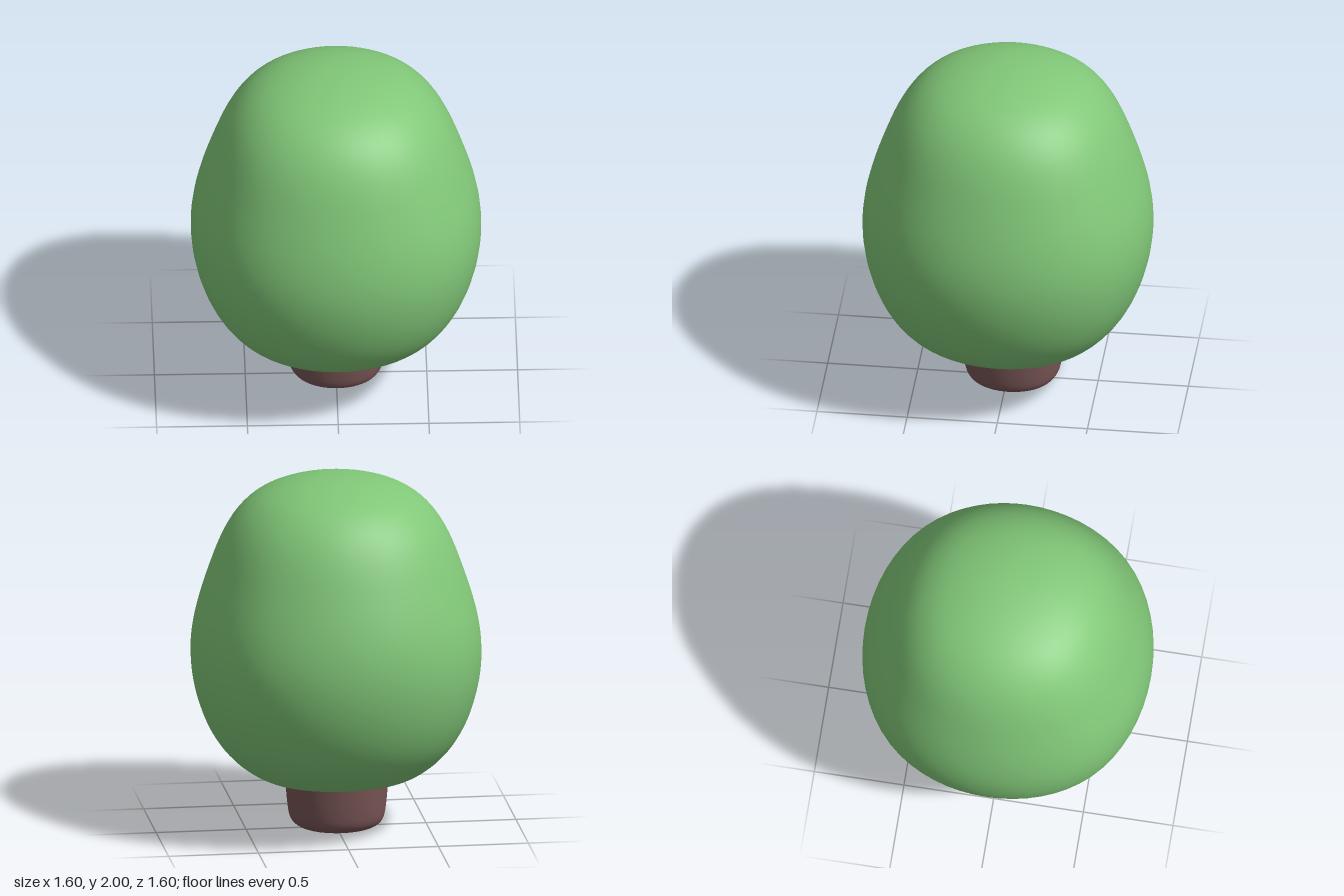
import * as THREE from 'three';

// Square cage: rings of [half width, y], open at the first ring, capped at the last
function cage(rings, flip) {
  const corners = [[1, 1], [1, -1], [-1, -1], [-1, 1]];
  const points = [], quads = [];
  rings.forEach(([w, y], r) => corners.forEach(([cx, cz], i) => {
    points.push(new THREE.Vector3(cx * w, y, cz * w));
    const j = (i + 1) % 4;
    if (r > 0) quads.push([4 * r - 4 + i, 4 * r - 4 + j, 4 * r + j, 4 * r + i]);
  }));
  const last = 4 * (rings.length - 1);
  quads.push([last, last + 1, last + 2, last + 3]);
  if (flip) quads.forEach((q) => q.reverse());
  return { points, quads };
}

// One step of smooth quad subdivision, with open borders kept as smooth curves
function subdivide({ points, quads }) {
  const n = points.length;
  const average = (list) => list.reduce((s, p) => s.add(p), new THREE.Vector3()).divideScalar(list.length);
  const edges = new Map();
  const around = points.map(() => ({ faces: [], mids: [], rim: [] }));
  const key = (a, b) => Math.min(a, b) * n + Math.max(a, b);
  const facePoints = quads.map((q) => average(q.map((i) => points[i])));
  quads.forEach((q, f) => q.forEach((a, k) => {
    const b = q[(k + 1) % 4], id = key(a, b);
    if (!edges.has(id)) edges.set(id, { a, b, faces: [] });
    edges.get(id).faces.push(facePoints[f]);
    around[a].faces.push(facePoints[f]);
  }));

  const edgePoints = [];
  for (const e of edges.values()) {
    const ends = [points[e.a], points[e.b]];
    const mid = average(ends);
    const border = e.faces.length === 1;
    e.index = n + edgePoints.length;
    edgePoints.push(border ? mid : average([...ends, ...e.faces]));
    for (const v of [e.a, e.b]) {
      around[v].mids.push(mid);
      if (border) around[v].rim.push(mid);
    }
  }

  const moved = points.map((p, i) => {
    const { faces, mids, rim } = around[i];
    if (rim.length) return average([p, p, ...rim]);
    const k = faces.length;
    return average(faces).addScaledVector(average(mids), 2).addScaledVector(p, k - 3).divideScalar(k);
  });

  const firstFace = n + edgePoints.length;
  const finer = [];
  quads.forEach((q, f) => q.forEach((a, k) => {
    const next = edges.get(key(a, q[(k + 1) % 4])).index;
    const previous = edges.get(key(q[(k + 3) % 4], a)).index;
    finer.push([a, next, firstFace + f, previous]);
  }));
  return { points: [...moved, ...edgePoints, ...facePoints], quads: finer };
}

// Smooth rounded form whose capped end reaches exactly endY
function roundedForm(name, color, rings, endY) {
  const startY = rings[0][1];
  const down = endY < startY;
  let mesh = cage(rings, down);
  for (let i = 0; i < 4; i++) mesh = subdivide(mesh);

  const heights = mesh.points.map((p) => p.y);
  const reach = down ? Math.min(...heights) : Math.max(...heights);
  const stretch = (endY - startY) / (reach - startY);
  mesh.points.forEach((p) => { p.y = startY + (p.y - startY) * stretch; });

  const geometry = new THREE.BufferGeometry().setFromPoints(mesh.points);
  geometry.setIndex(mesh.quads.flatMap(([a, b, c, d]) => [a, b, c, a, c, d]));
  geometry.computeVertexNormals();
  const material = new THREE.MeshStandardMaterial({ color, side: THREE.DoubleSide });
  const result = new THREE.Mesh(geometry, material);
  result.name = name;
  return result;
}

export function createModel() {
  const group = new THREE.Group();
  group.name = 'tree';

  // Crown, open underneath where the trunk enters
  group.add(roundedForm('foliage', 0x81c778, [
    [0.305, 0.3], [0.45, 0.28], [0.765, 0.49], [0.922, 1.0], [0.774, 1.45], [0.523, 2.024],
  ], 2));

  // Short trunk, set slightly back, with a rounded square foot
  const trunk = roundedForm('trunk', 0x795555, [
    [0.31, 0.3], [0.295, 0.1], [0.262, -0.005],
  ], 0);
  trunk.position.z = -0.028;
  group.add(trunk);

  return group;
}
